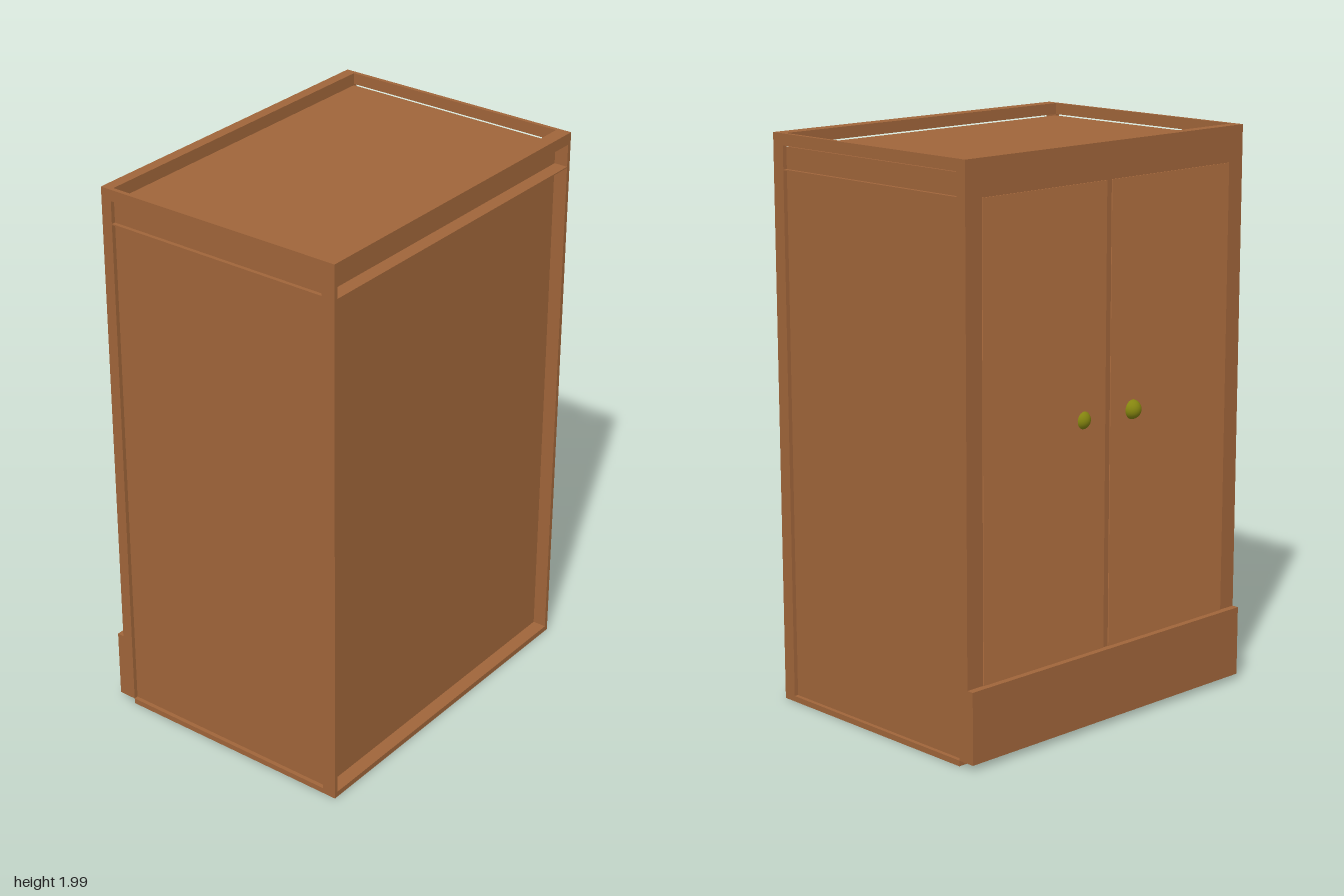
import * as THREE from 'three';

export function createModel() {
  const cabinet = new THREE.Group();
  cabinet.name = 'cabinet';
  const wood = new THREE.MeshStandardMaterial({ color: 0xa0653a });
  const doorWood = new THREE.MeshStandardMaterial({ color: 0xb06f40 });
  const brass = new THREE.MeshStandardMaterial({ color: 0x85850f });

  // Box given by its minimum and maximum on each axis
  function box(name, [x0, x1], [y0, y1], [z0, z1], material = wood) {
    const mesh = new THREE.Mesh(new THREE.BoxGeometry(x1 - x0, y1 - y0, z1 - z0), material);
    mesh.position.set((x0 + x1) / 2, (y0 + y1) / 2, (z0 + z1) / 2);
    mesh.name = name;
    cabinet.add(mesh);
    return mesh;
  }

  // Inset body: its faces are the recessed side, back and top panels
  box('body', [-0.43, 0.435], [0.02, 1.955], [-0.63, 0.63]);

  // Door-side face frame and the base plate
  box('faceFrame', [-0.455, -0.415], [0.03, 2], [-0.645, 0.645]);
  box('basePlate', [-0.415, 0.485], [0.01, 0.03], [-0.645, 0.645]);

  // Stiles and top rim around the recessed panels
  box('rearRim', [0.435, 0.485], [1.96, 2], [-0.63, 0.63]);
  for (const s of [-1, 1]) {
    const z = s > 0 ? [0.63, 0.645] : [-0.645, -0.63];
    box('rearStile', [0.435, 0.485], [0.03, 2], z);
    box('sideRim', [-0.415, 0.435], [1.96, 2], z);
  }

  // Thin ledge running round the panels below the rim
  box('ledge', [-0.42, 0.485], [1.876, 1.88], [-0.644, 0.644]);

  // Skirting below the doors
  box('skirting', [-0.48, -0.455], [0.03, 0.28], [-0.645, 0.645]);

  // Pair of doors with round knobs
  for (const s of [-1, 1]) {
    box('door', [-0.458, -0.45], [0.27, 1.875], s > 0 ? [0.004, 0.575] : [-0.575, -0.02], doorWood);
    const knob = new THREE.Mesh(new THREE.SphereGeometry(0.034, 24, 16), brass);
    knob.position.set(s > 0 ? -0.454 : -0.442, 1.09, s > 0 ? 0.11 : -0.12);
    knob.name = 'knob';
    cabinet.add(knob);
  }
  return cabinet;
}
